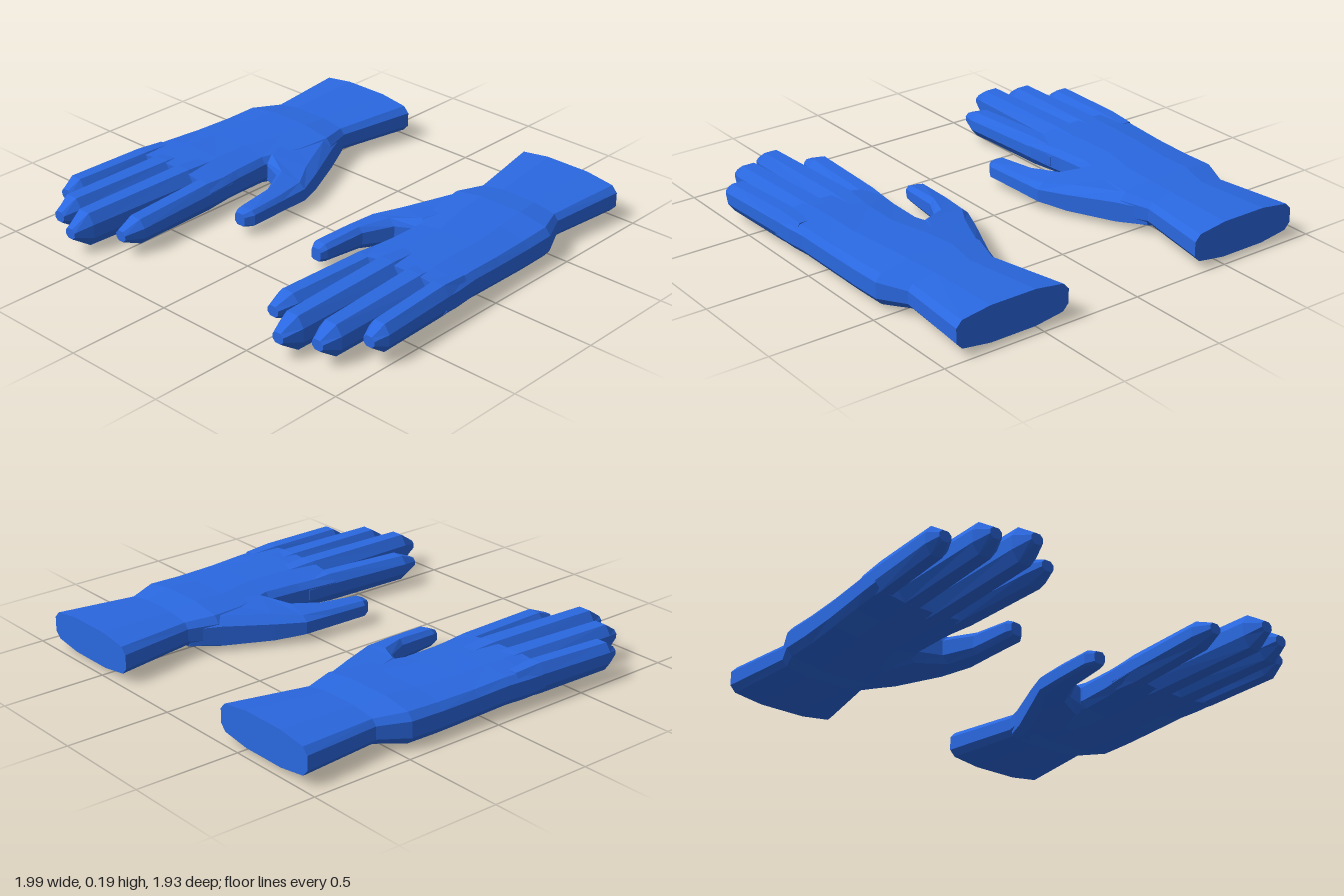
import * as THREE from 'three';

// Half cross-sections as [u, v] in -1..1, counter-clockwise seen from the fingertips
const PALM = [[1, -0.4], [1, 0.4], [0.9, 0.76], [0.4, 1], [-0.4, 1], [-0.9, 0.76],
  [-1, 0.4], [-1, -0.4], [-0.9, -0.76], [-0.4, -1], [0.4, -1], [0.9, -0.76]];
const FINGER = [[1, -0.4], [1, 0.4], [0.5, 1], [-0.5, 1], [-1, 0.4], [-1, -0.4], [-0.5, -1], [0.5, -1]];
const THUMB = [[1, -0.5], [1, 0.5], [0.6, 1], [-0.65, 1], [-1, 0.55], [-1, -0.75], [-0.65, -1], [0.6, -1]];

// Skin a closed tube over rings. Each ring runs from edge a to edge b:
// [xa, za, xb, zb, bottomA, topA, bottomB, topB]
function loft(rings, section, side) {
  const pos = [], idx = [], n = section.length;
  const tri = (a, b, c) => (side > 0 ? idx.push(a, b, c) : idx.push(a, c, b));
  for (const [xa, za, xb, zb, la, ta, lb = la, tb = ta] of rings) {
    for (const [u, v] of section) {
      const t = (u + 1) / 2;
      const low = la + (lb - la) * t, top = ta + (tb - ta) * t;
      pos.push(side * (xa + (xb - xa) * t), low + (top - low) * (v + 1) / 2, za + (zb - za) * t);
    }
  }
  for (let r = 0; r < rings.length - 1; r++) {
    for (let i = 0; i < n; i++) {
      const a = r * n + i, b = r * n + (i + 1) % n;
      tri(a, b, b + n);
      tri(a, b + n, a + n);
    }
  }
  // End caps
  const last = (rings.length - 1) * n;
  for (let i = 1; i < n - 1; i++) {
    tri(0, i + 1, i);
    tri(last, last + i, last + i + 1);
  }
  const g = new THREE.BufferGeometry();
  g.setAttribute('position', new THREE.Float32BufferAttribute(pos, 3));
  g.setIndex(idx);
  g.computeVertexNormals();
  return g;
}

// Ring square to z
const flat = (z, xa, xb, ...y) => [xa, z, xb, z, ...y];

// Cuff, wrist and palm
const palmRings = [
  flat(-0.97, 0.35, 0.92, 0.025, 0.195),
  flat(-0.58, 0.425, 0.88, 0.03, 0.18),
  flat(-0.44, 0.38, 0.945, 0.005, 0.195),
  flat(-0.28, 0.40, 0.948, 0.005, 0.19),
  flat(-0.08, 0.468, 0.953, 0.015, 0.19),
  flat(0.10, 0.46, 0.962, 0.02, 0.185, 0.025, 0.198),
  flat(0.20, 0.448, 0.972, 0.025, 0.183, 0.025, 0.198),
  flat(0.30, 0.44, 0.977, 0.03, 0.18, 0.03, 0.197),
];

// Thumb, swelling out of the side of the wrist
const thumbRings = [
  [0.43, -0.57, 0.62, -0.50, 0.035, 0.155, 0.02, 0.18],
  [0.365, -0.43, 0.60, -0.33, 0.015, 0.16, 0.008, 0.19],
  [0.26, -0.21, 0.52, -0.11, 0.018, 0.14, 0.012, 0.18],
  [0.20, -0.07, 0.37, -0.055, 0.035, 0.125, 0.015, 0.16],
  [0.193, 0.08, 0.30, 0.08, 0.04, 0.122, 0.03, 0.145],
  [0.185, 0.27, 0.282, 0.285, 0.042, 0.12, 0.042, 0.128],
  [0.21, 0.312, 0.268, 0.315, 0.05, 0.108, 0.05, 0.112],
];

// Fingers: root edges, knuckle edges, shoulder z, tip z, bottom, top
const fingers = [
  ['indexFinger', 0.44, 0.562, 0.415, 0.535, 0.73, 0.82, 0.035, 0.172],
  ['middleFinger', 0.562, 0.71, 0.585, 0.71, 0.88, 0.965, 0.022, 0.198],
  ['ringFinger', 0.71, 0.862, 0.742, 0.865, 0.82, 0.897, 0.03, 0.195],
  ['littleFinger', 0.862, 0.977, 0.885, 0.997, 0.68, 0.742, 0.045, 0.192],
];

function fingerRings([, ra, rb, ka, kb, shoulder, tip, low, top]) {
  const mid = (ka + kb) / 2, cy = (low + top) / 2;
  return [
    flat(0.15, ra + 0.012, rb - 0.012, low + 0.01, top - 0.01),
    flat(0.29, ra, rb, low, top),
    flat(shoulder, ka, kb, low + 0.008, top - 0.008),
    flat(tip, mid - 0.03, mid + 0.03, cy - 0.025, cy + 0.025),
  ];
}

function createGlove(name, side, material) {
  const glove = new THREE.Group();
  glove.name = name;
  const add = (part, rings, section) => {
    const mesh = new THREE.Mesh(loft(rings, section, side), material);
    mesh.name = part;
    glove.add(mesh);
  };
  add('palmAndCuff', palmRings, PALM);
  add('thumb', thumbRings, THUMB);
  for (const f of fingers) add(f[0], fingerRings(f), FINGER);
  return glove;
}

export function createModel() {
  const model = new THREE.Group();
  model.name = 'gloves';
  const material = new THREE.MeshStandardMaterial({ color: 0x2a68e0, flatShading: true });
  model.add(createGlove('leftGlove', 1, material), createGlove('rightGlove', -1, material));
  return model;
}
